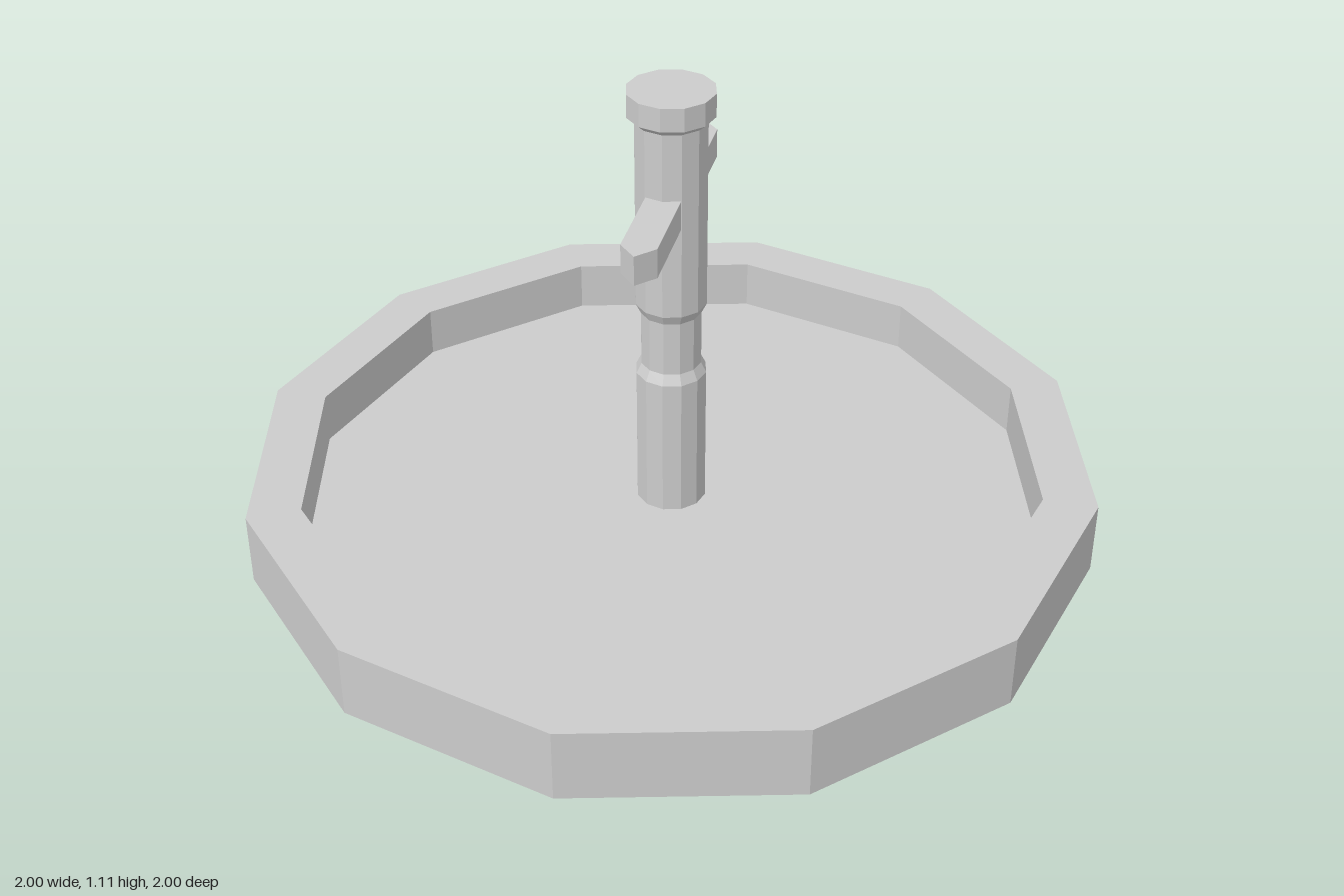
import * as THREE from 'three';

const SIDES = 12;
const material = new THREE.MeshStandardMaterial({ color: 0xcccccc, flatShading: true });

// Faceted solid turned from a [radius, height] profile, listed from bottom to top
function turned(name, profile) {
  const points = profile.map(([r, y]) => new THREE.Vector2(r, y));
  const mesh = new THREE.Mesh(new THREE.LatheGeometry(points, SIDES), material);
  mesh.name = name;
  return mesh;
}

// Flat bar with a pointed outer end, reaching out along z from the post
function createArm(name, side) {
  const shape = new THREE.Shape([
    [-0.04, 0], [0.04, 0], [0.04, 0.283], [0, 0.325], [-0.04, 0.283],
  ].map(([x, y]) => new THREE.Vector2(x, y)));
  const geometry = new THREE.ExtrudeGeometry(shape, { depth: 0.07, bevelEnabled: false });
  geometry.rotateX(-Math.PI / 2);
  const mesh = new THREE.Mesh(geometry, material);
  mesh.name = name;
  mesh.position.y = 0.81;
  mesh.rotation.y = side > 0 ? Math.PI : 0;
  return mesh;
}

export function createModel() {
  const model = new THREE.Group();
  model.name = 'basinWithPost';

  // Shallow twelve-sided basin with a raised rim
  model.add(turned('basin', [
    [0, 0], [1, 0], [1, 0.175], [0.875, 0.175], [0.875, 0.05], [0, 0.05],
  ]));

  // Central post with a narrowed waist
  model.add(turned('post', [
    [0.083, 0.05], [0.083, 0.4], [0.071, 0.425], [0.071, 0.56],
    [0.083, 0.585], [0.083, 1.05],
  ]));

  // Wider cap with a small taper underneath
  model.add(turned('cap', [
    [0.083, 1.04], [0.1, 1.055], [0.1, 1.11], [0, 1.11],
  ]));

  // Two opposite arms
  model.add(createArm('frontArm', 1), createArm('backArm', -1));
  return model;
}
